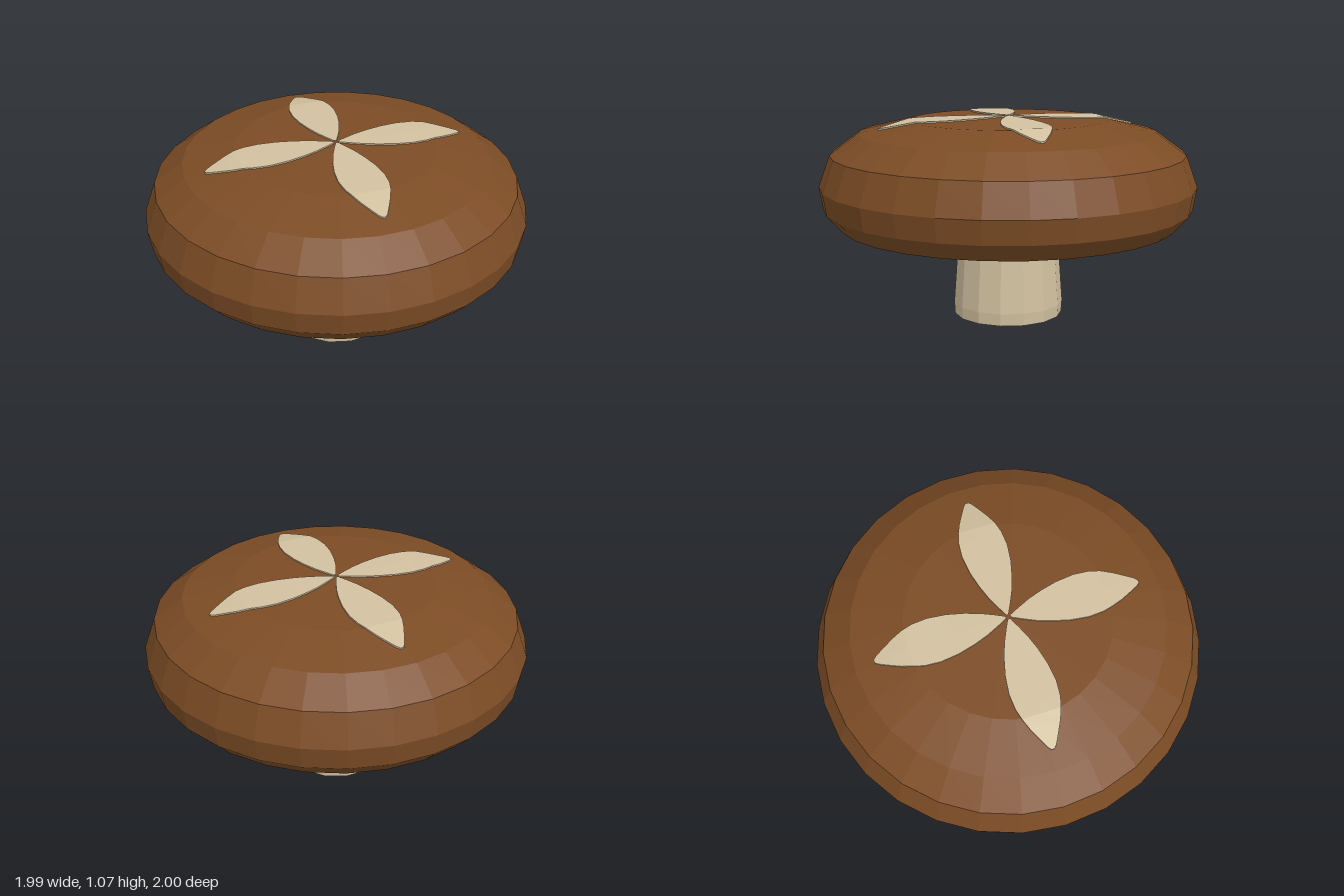
import * as THREE from 'three';

// Height of the cap's top at distance r from the axis
const TOP = [[0, 1.068], [0.52, 1.055], [0.79, 0.99]];
function capHeight(r) {
  const [a, b] = r < TOP[1][0] ? [TOP[0], TOP[1]] : [TOP[1], TOP[2]];
  return a[1] + (b[1] - a[1]) * (r - a[0]) / (b[0] - a[0]);
}

// Faceted turned solid with one corner on +x
function turned(name, profile, sides, material) {
  const points = profile.map(([r, y]) => new THREE.Vector2(r, y));
  const mesh = new THREE.Mesh(new THREE.LatheGeometry(points, sides, Math.PI / 2), material);
  mesh.name = name;
  return mesh;
}

// Thin leaf-shaped plate that follows the cap, running along +x
function petalGeometry() {
  const sections = [[0.012, 0.006], [0.06, 0.03], [0.125, 0.06], [0.2, 0.086], [0.287, 0.108],
    [0.38, 0.119], [0.46, 0.113], [0.515, 0.098], [0.57, 0.076], [0.63, 0.045], [0.672, 0.022], [0.688, 0.008]];
  const across = [[-1, -0.004], [-1, 0.007], [0, 0.007], [1, 0.007], [1, -0.004]];
  const positions = [], index = [], n = across.length;
  sections.forEach(([x, w], i) => {
    for (const [s, lift] of across) positions.push(x, capHeight(Math.hypot(x, s * w)) + lift, s * w);
    if (i === 0) return;
    for (let j = 0; j < n - 1; j++) {
      const a = (i - 1) * n + j, b = a + n;
      index.push(a, a + 1, b, a + 1, b + 1, b);
    }
  });
  // Close the blunt outer tip
  const e = (sections.length - 1) * n;
  index.push(e, e + 1, e + 4, e + 1, e + 3, e + 4);
  const geometry = new THREE.BufferGeometry();
  geometry.setAttribute('position', new THREE.Float32BufferAttribute(positions, 3));
  geometry.setIndex(index);
  geometry.computeVertexNormals();
  return geometry;
}

export function createModel() {
  const group = new THREE.Group();
  group.name = 'mushroom';
  const brown = new THREE.MeshStandardMaterial({ name: 'capBrown', color: 0x7c4c25, flatShading: true });
  const cream = new THREE.MeshStandardMaterial({
    name: 'cream', color: 0xd2c1a0, flatShading: true, side: THREE.DoubleSide,
  });

  // Cap: hollow underside, rim, rounded side, shallow dome
  group.add(turned('cap', [
    [0, 0.63], [0.5, 0.62], [0.88, 0.59], [0.9, 0.505], [0.98, 0.595], [1, 0.715],
    [0.94, 0.88], [0.79, 0.99], [0.52, 1.055], [0, 1.068],
  ], 29, brown));

  // Stem
  group.add(turned('stem', [[0, 0], [0.292, 0], [0.296, 0.065], [0.266, 0.48], [0.255, 0.635]], 15, cream));

  // Four scored petals on the cap
  const petal = petalGeometry();
  for (let i = 0; i < 4; i++) {
    const mesh = new THREE.Mesh(petal, cream);
    mesh.name = `petal${i + 1}`;
    mesh.rotation.y = Math.PI / 4 + i * Math.PI / 2;
    group.add(mesh);
  }
  return group;
}
